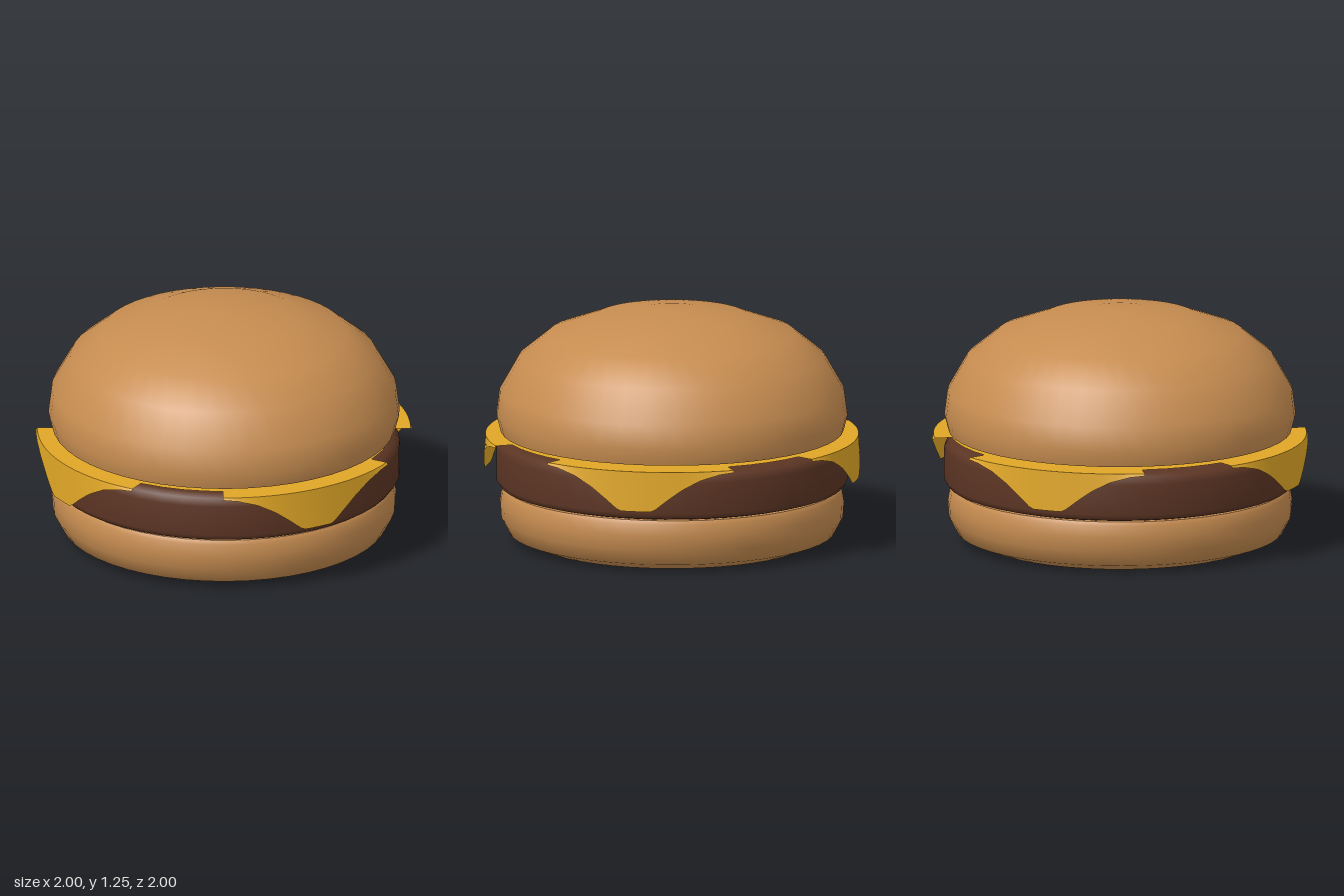
import * as THREE from 'three';

const mat = (name, color, side = THREE.FrontSide) => {
  const m = new THREE.MeshStandardMaterial({ color, side });
  m.name = name;
  return m;
};

// Round layer turned from [radius, height] pairs, listed from bottom to top;
// a repeated pair makes a sharp edge.
function layer(name, profile, material) {
  const points = profile.map(([r, y]) => new THREE.Vector2(r, y));
  const mesh = new THREE.Mesh(new THREE.LatheGeometry(points, 48), material);
  mesh.name = name;
  return mesh;
}

// Curved strip between two edges, each a function of t from -1 to 1.
function strip(name, edgeA, edgeB, material) {
  const steps = 40, pos = [], index = [];
  for (let j = 0; j <= steps; j++) {
    const t = (j / steps) * 2 - 1;
    pos.push(...edgeA(t), ...edgeB(t));
    if (j < steps) {
      const a = j * 2;
      index.push(a, a + 1, a + 3, a, a + 3, a + 2);
    }
  }
  const geo = new THREE.BufferGeometry();
  geo.setAttribute('position', new THREE.Float32BufferAttribute(pos, 3));
  geo.setIndex(index);
  geo.computeVertexNormals();
  const mesh = new THREE.Mesh(geo, material);
  mesh.name = name;
  return mesh;
}

// Height of the hanging cheese edge by angle (degrees) from the corner.
const HEM = [[0, 0.36], [5.2, 0.36], [9.5, 0.42], [14.3, 0.48], [20, 0.53], [26, 0.557], [31, 0.565]];
function hemHeight(deg) {
  const k = Math.max(1, HEM.findIndex(([d]) => d >= deg));
  const [d0, y0] = HEM[k - 1], [d1, y1] = HEM[k];
  return y0 + (y1 - y0) * (deg - d0) / (d1 - d0);
}

export function createModel() {
  const burger = new THREE.Group();
  burger.name = 'burger';
  const bun = mat('bun brown', 0xc68c50);
  const meat = mat('patty brown', 0x5c3524);
  const yellow = mat('cheese yellow', 0xe0a626, THREE.DoubleSide);

  burger.add(layer('bottomBun', [
    [0, 0], [0.75, 0], [0.75, 0], [0.865, 0.045], [0.91, 0.13], [0.915, 0.21],
    [0.905, 0.27], [0.89, 0.29], [0.89, 0.29], [0, 0.29],
  ], bun));

  burger.add(layer('patty', [
    [0, 0.292], [0.87, 0.292], [0.915, 0.305], [0.935, 0.335], [0.935, 0.5],
    [0.915, 0.54], [0.87, 0.556], [0, 0.556],
  ], meat));

  burger.add(layer('topBun', [
    [0, 0.595], [0.912, 0.595], [0.912, 0.595], [0.934, 0.68], [0.917, 0.81], [0.815, 0.99],
    [0.655, 1.12], [0.405, 1.213], [0.17, 1.244], [0, 1.252],
  ], bun));

  // Cheese slice: flat centre with four corners folded down over the patty
  const cheese = new THREE.Group();
  cheese.name = 'cheese';
  const top = 0.575, half = 30.5;
  const centre = new THREE.Mesh(new THREE.CircleGeometry(0.9, 48), yellow);
  centre.name = 'cheeseCentre';
  centre.rotation.x = -Math.PI / 2;
  centre.position.y = top;
  cheese.add(centre);

  const at = (t, r, y) => {
    const a = THREE.MathUtils.degToRad(t * half);
    return [Math.sin(a) * r, y, Math.cos(a) * r];
  };
  for (let i = 0; i < 4; i++) {
    const corner = new THREE.Group();
    corner.name = 'cheeseCorner';
    const fold = t => at(t, 0.992, top);
    corner.add(strip('cornerTop', t => at(t, 0.88, top), fold, yellow));
    corner.add(strip('cornerFlap', fold, t => at(t, 1, hemHeight(Math.abs(t) * half)), yellow));
    corner.rotation.y = THREE.MathUtils.degToRad(-8.6 + i * 90);
    cheese.add(corner);
  }
  burger.add(cheese);
  return burger;
}
